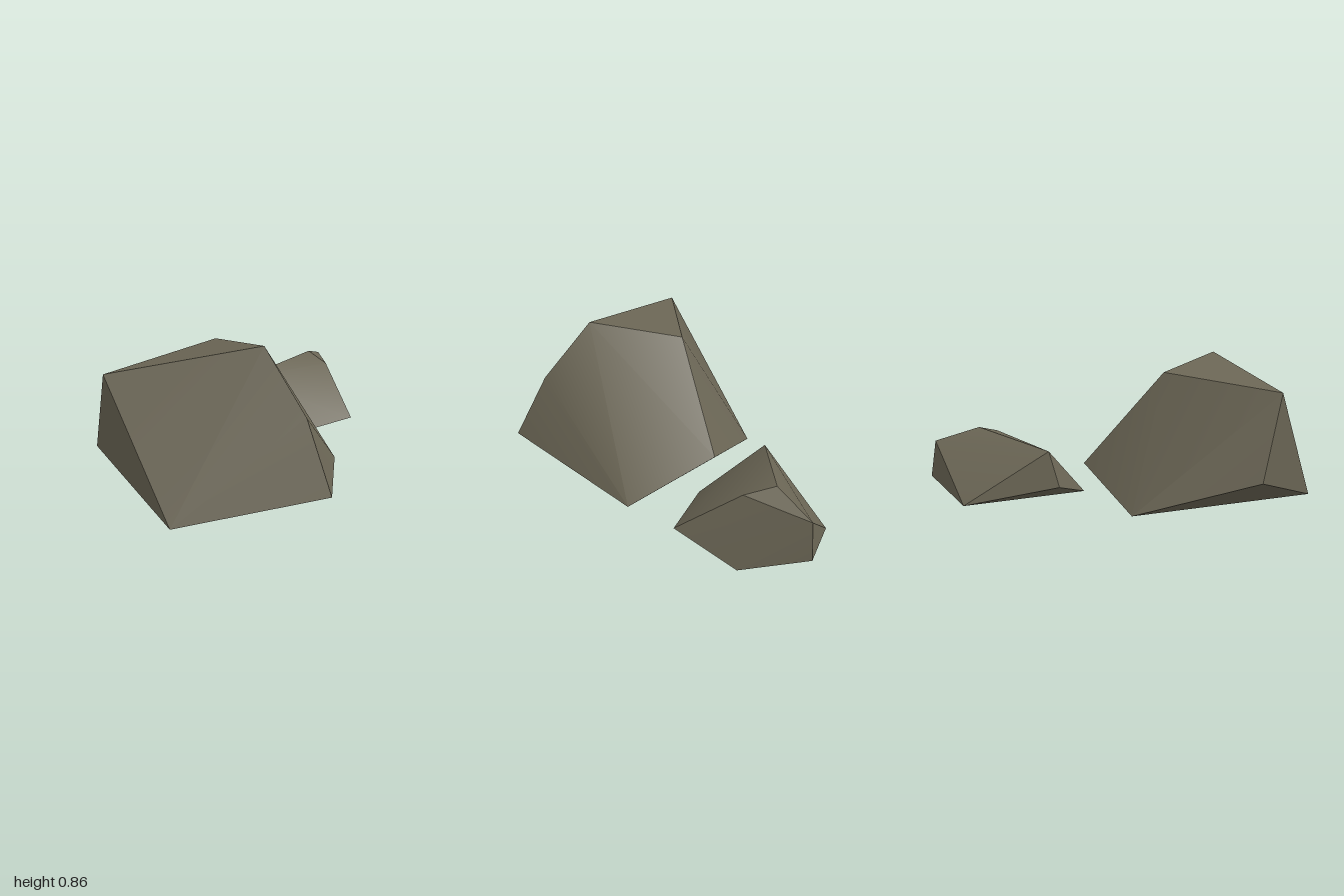
import * as THREE from 'three';
import { ConvexGeometry } from 'three/addons/geometries/ConvexGeometry.js';
import { toCreasedNormals } from 'three/addons/utils/BufferGeometryUtils.js';

// A faceted boulder: the hull of its corners, with only shallow edges softened
function rock(name, corners, material) {
  const hull = new ConvexGeometry(corners.map((c) => new THREE.Vector3(...c)));
  const mesh = new THREE.Mesh(toCreasedNormals(hull, 0.5), material);
  mesh.name = name;
  return mesh;
}

export function createModel() {
  const group = new THREE.Group();
  group.name = 'rocks';
  const stone = new THREE.MeshStandardMaterial({ color: 0x6b6655 });
  stone.name = 'stone';

  group.add(rock('largeRock', [
    // lower rim
    [-0.86, 0.21, 0.23], [-0.52, 0, 0.92], [0.31, 0.15, 1.0],
    [0.57, 0, 0.14], [0.2, 0.21, -0.26], [-0.36, 0, -0.29],
    // upper corners
    [-0.81, 0.69, 0.41], [0.03, 0.86, 0.6], [-0.15, 0.77, 0.08], [0.21, 0.53, 0.83],
  ], stone));

  group.add(rock('smallRock', [
    // lower rim
    [0.08, 0.11, -0.5], [0.3, 0.01, -0.2], [0.78, 0.11, -0.23],
    [0.86, 0, -0.62], [0.78, 0.12, -1.0], [0.36, 0.01, -0.98],
    // upper corners
    [0.13, 0.32, -0.54], [0.62, 0.42, -0.75], [0.7, 0.375, -0.59], [0.75, 0.34, -0.98],
  ], stone));

  return group;
}
